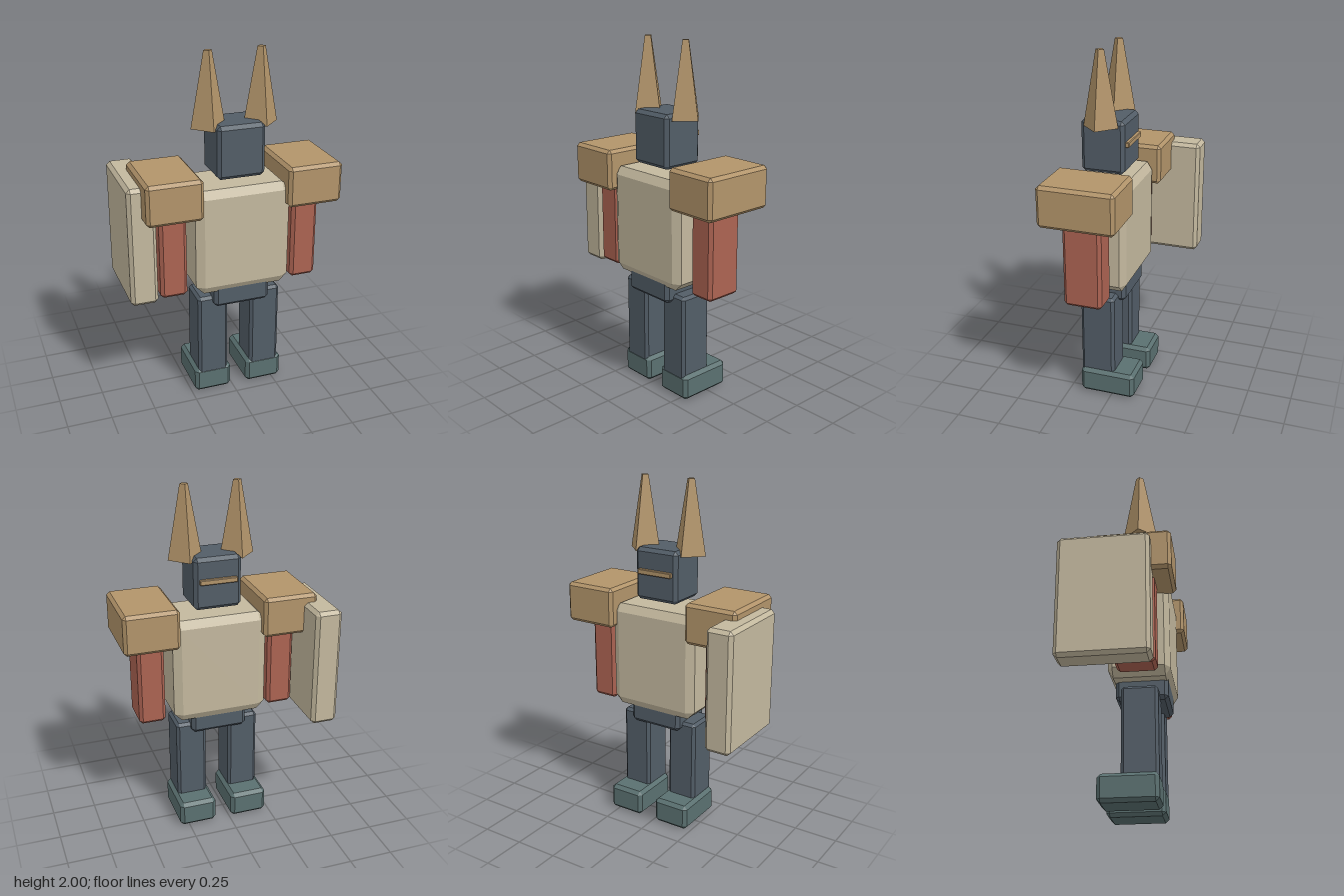
import * as THREE from 'three';
import { ConvexGeometry } from 'three/addons/geometries/ConvexGeometry.js';

const material = (color) => new THREE.MeshStandardMaterial({ color, flatShading: true });
const CENTRE = 0.037; // the body's mirror plane; the shield shifts it off x = 0

// Box with chamfered edges and corners, centred on the origin
function chamferBox(w, h, d, bx, by = bx, bz = bx) {
  const points = [];
  for (const sx of [-1, 1]) for (const sy of [-1, 1]) for (const sz of [-1, 1]) {
    const x = w / 2, y = h / 2, z = d / 2;
    points.push(
      new THREE.Vector3(sx * x, sy * (y - by), sz * (z - bz)),
      new THREE.Vector3(sx * (x - bx), sy * y, sz * (z - bz)),
      new THREE.Vector3(sx * (x - bx), sy * (y - by), sz * z));
  }
  return new ConvexGeometry(points);
}

export function createModel() {
  const model = new THREE.Group();
  model.name = 'hornedRobot';
  const steel = material(0x525d67);
  const bone = material(0xc3b89e);
  const tan = material(0xb2946a);
  const red = material(0xac6352);
  const teal = material(0x5a7070);

  function add(name, geometry, mat, x, y, z) {
    const mesh = new THREE.Mesh(geometry, mat);
    mesh.name = name;
    mesh.position.set(x, y, z);
    model.add(mesh);
  }

  // Head, visor, body and pelvis
  add('head', chamferBox(0.27, 0.295, 0.245, 0.02), steel, CENTRE, 1.473, 0.083);
  add('visor', chamferBox(0.214, 0.03, 0.025, 0.004), tan, CENTRE, 1.49, -0.046);
  add('torso', chamferBox(0.54, 0.61, 0.336, 0.045, 0.045, 0.028), bone, CENTRE, 0.985, 0.083);
  add('pelvis', chamferBox(0.325, 0.16, 0.284, 0.02), steel, CENTRE, 0.657, 0.088);

  // Mirrored parts
  for (const [side, s] of [['left', 1], ['right', -1]]) {
    const at = (offset) => CENTRE + s * offset;
    add(side + 'Horn', new THREE.CylinderGeometry(0.023, 0.097, 0.41, 4), tan, at(0.148), 1.795, 0.084);
    add(side + 'Shoulder', chamferBox(0.313, 0.23, 0.424, 0.018), tan, at(0.396), 1.265, 0.083);
    add(side + 'Arm', chamferBox(0.153, 0.5, 0.215, 0.018), red, at(0.384), 0.92, 0.087);
    add(side + 'Leg', chamferBox(0.176, 0.515, 0.197, 0.016), steel, at(0.157), 0.368, 0.085);
    add(side + 'Foot', chamferBox(0.217, 0.15, 0.32, 0.02), teal, at(0.157), 0.08, 0.025);
  }

  // Slab shield beside the right arm
  add('shield', chamferBox(0.154, 0.685, 0.49, 0.02), bone, -0.513, 0.99, -0.055);
  return model;
}
